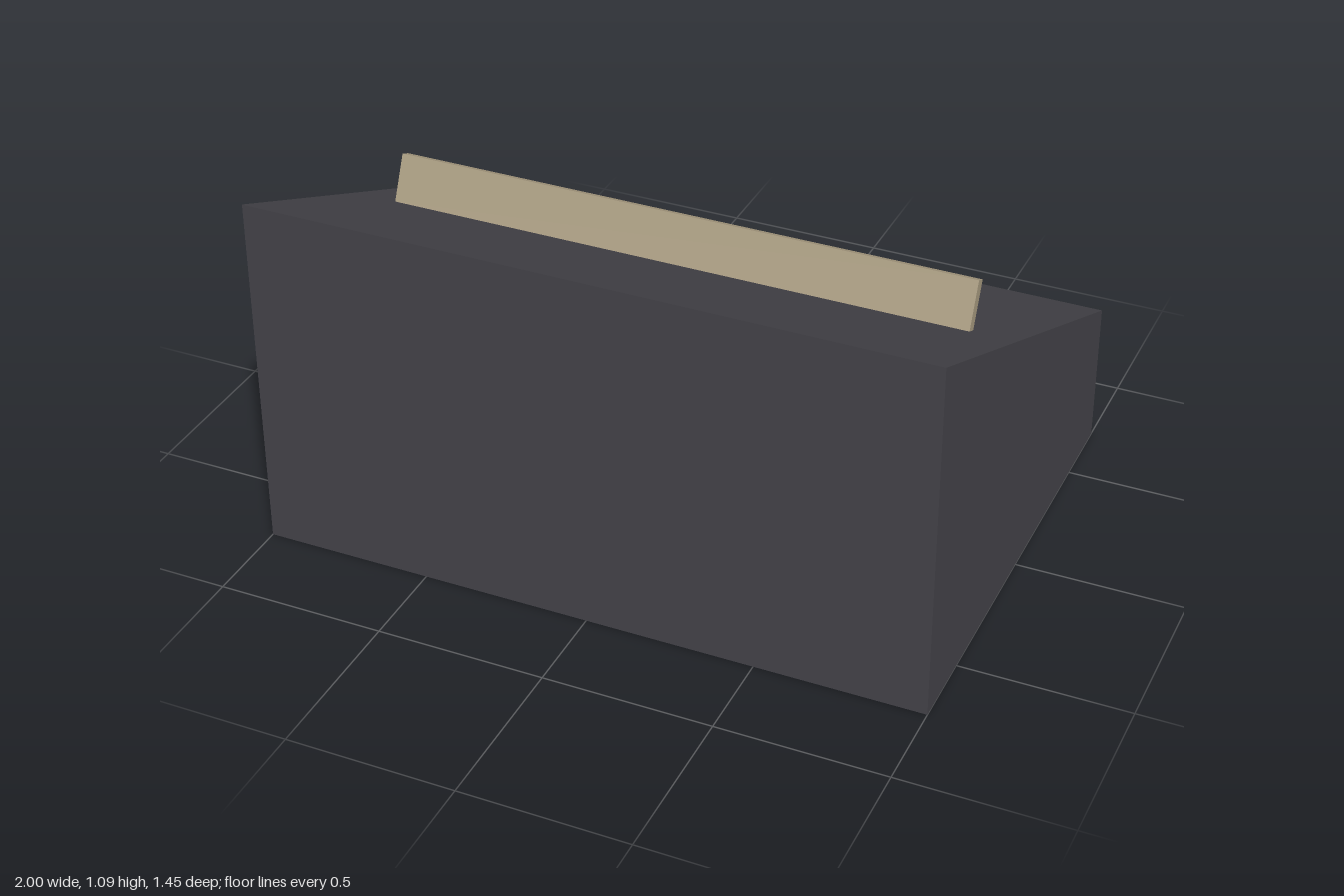
import * as THREE from 'three';

export function createModel() {
  const model = new THREE.Group();
  const charcoal = new THREE.MeshStandardMaterial({ color: 0x444349 });
  charcoal.name = 'charcoal';
  const tan = new THREE.MeshStandardMaterial({ color: 0xa89b80 });
  tan.name = 'tan';

  const width = 2, half = 0.727, tall = 1.09, low = 0.437;
  const slope = Math.atan2(tall - low, 2 * half);

  // Wedge body: side profile (front at negative shape x) extruded across the width
  const profile = new THREE.Shape([
    new THREE.Vector2(-half, 0),
    new THREE.Vector2(half, 0),
    new THREE.Vector2(half, low),
    new THREE.Vector2(-half, tall),
  ]);
  const bodyGeometry = new THREE.ExtrudeGeometry(profile, { depth: width, bevelEnabled: false });
  bodyGeometry.translate(0, 0, -width / 2).rotateY(Math.PI / 2);
  const body = new THREE.Mesh(bodyGeometry, charcoal);
  body.name = 'slopedBody';
  model.add(body);

  // Ledge standing square to the sloped top
  const ledgeHeight = 0.14, ledgeZ = 0.128;
  const ledgeGeometry = new THREE.BoxGeometry(1.74, ledgeHeight, 0.035);
  ledgeGeometry.translate(0, ledgeHeight / 2, 0);
  const ledge = new THREE.Mesh(ledgeGeometry, tan);
  ledge.name = 'ledge';
  ledge.position.set(0, (tall + low) / 2 + ledgeZ * Math.tan(slope), ledgeZ);
  ledge.rotation.x = -slope;
  model.add(ledge);

  return model;
}
